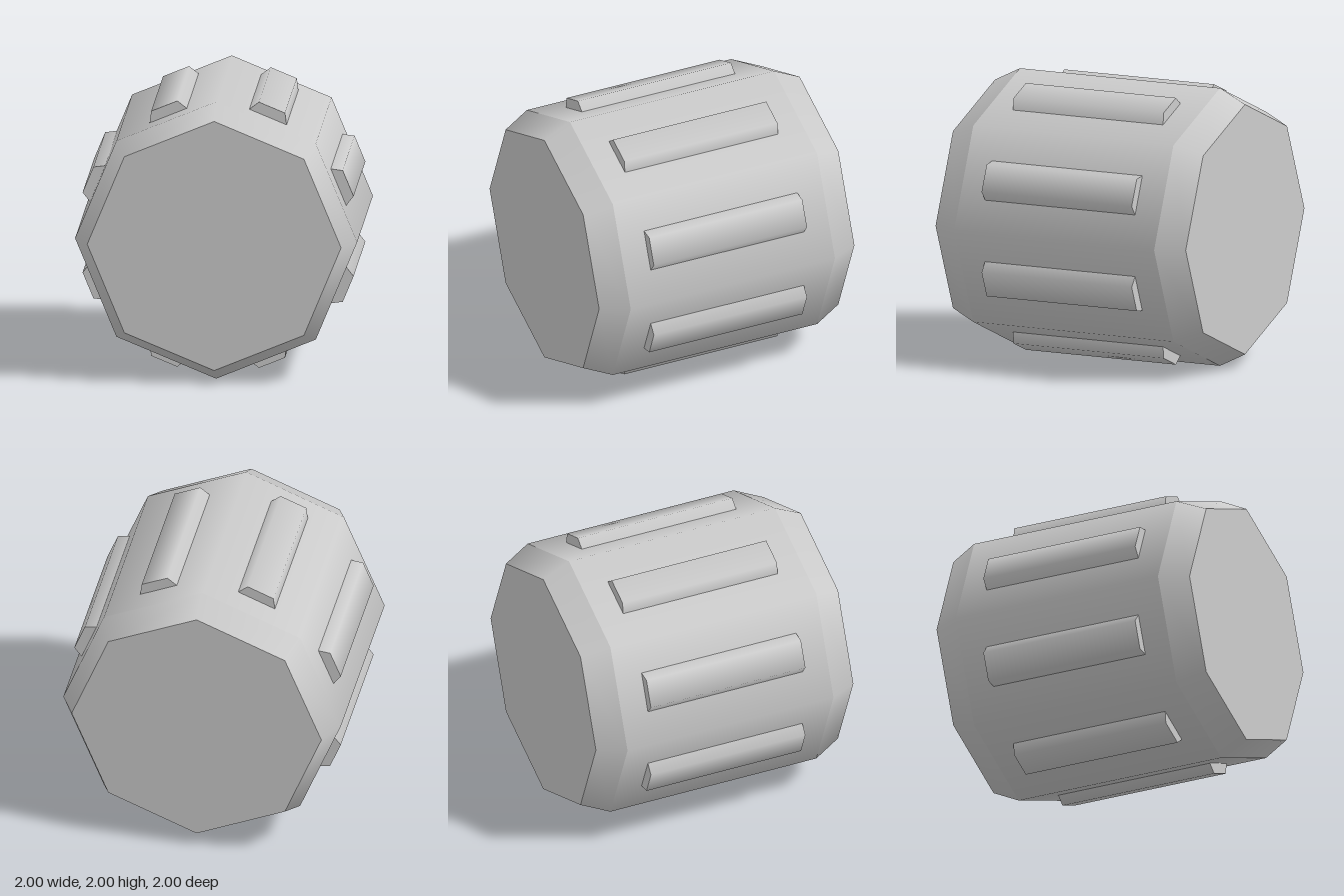
import * as THREE from 'three';

const material = new THREE.MeshStandardMaterial({ color: 0xcccccc });

// Prism lying along z, with smooth sides
function prism(name, rFront, rBack, length, sides, openEnded, turn = 0) {
  const geometry = new THREE.CylinderGeometry(rFront, rBack, length, sides, 1, openEnded, turn);
  geometry.rotateX(Math.PI / 2);
  const mesh = new THREE.Mesh(geometry, material);
  mesh.name = name;
  return mesh;
}

export function createModel() {
  const model = new THREE.Group();
  model.name = 'ribbedDrum';
  model.position.y = 1;

  // Octagonal barrel, standing on one edge
  model.add(prism('barrel', 1, 1, 1.6, 8, true));

  // Bevelled rim and flat end at the front and back
  for (const side of [1, -1]) {
    const rim = prism(side > 0 ? 'frontRim' : 'backRim', 0.9, 1, 0.2, 8, true);
    rim.position.z = 0.9 * side;
    if (side < 0) rim.rotation.y = Math.PI;
    model.add(rim);

    const end = new THREE.Mesh(new THREE.CircleGeometry(0.9, 8), material);
    end.name = side > 0 ? 'frontEnd' : 'backEnd';
    end.position.z = side;
    if (side < 0) end.rotation.y = Math.PI;
    model.add(end);
  }

  // Half-sunk hexagonal grip rib in the middle of each barrel face
  for (let i = 0; i < 8; i++) {
    const angle = (i + 0.5) * Math.PI / 4;
    const rib = prism('gripRib' + (i + 1), 0.2, 0.2, 1.2, 6, false, Math.PI / 6);
    rib.position.set(Math.cos(angle) * 0.825, Math.sin(angle) * 0.825, 0);
    rib.rotation.z = angle - Math.PI / 2;
    model.add(rib);
  }

  const root = new THREE.Group();
  root.add(model);
  return root;
}
